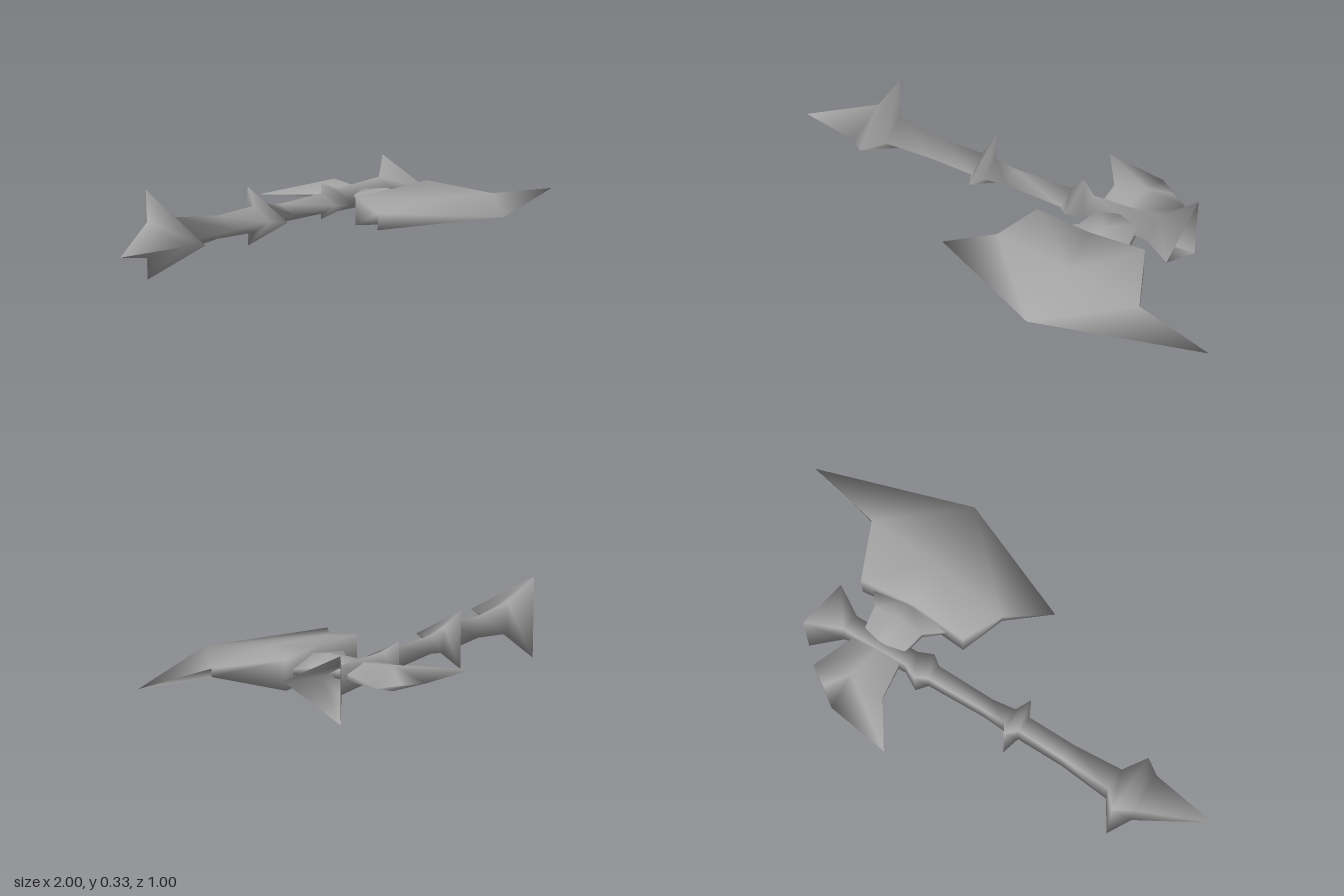
import * as THREE from 'three';

const MID = 0.163; // height of the horizontal symmetry plane
const steel = new THREE.MeshStandardMaterial({ color: 0xa6a6a6, side: THREE.DoubleSide });
steel.name = 'steel grey';

function buildMesh(name, positions, index) {
  const geo = new THREE.BufferGeometry();
  geo.setAttribute('position', new THREE.Float32BufferAttribute(positions, 3));
  geo.setIndex(index);
  geo.computeVertexNormals();
  const mesh = new THREE.Mesh(geo, steel);
  mesh.name = name;
  return mesh;
}

// Three-sided shaft lofted through [x, back z, front z, half height] stations
function loftShaft(name, stations) {
  const pos = [], idx = [];
  stations.forEach(([x, back, front, h], i) => {
    pos.push(x, MID, front, x, MID - h, back, x, MID + h, back);
    if (i === 0) return;
    for (let k = 0; k < 3; k++) {
      const p = (i - 1) * 3 + k, q = (i - 1) * 3 + (k + 1) % 3;
      if (i > 1) idx.push(p, q, q + 3);
      idx.push(p, q + 3, p + 3);
    }
  });
  return buildMesh(name, pos, idx);
}

// Lens-like plate mirrored about MID: rows (increasing z) of [x, z, half thickness]
function plate(name, rows) {
  const pos = [], idx = [], top = [], bottom = [];
  const add = (x, y, z) => pos.push(x, y, z) / 3 - 1;
  const tri = (a, b, c) => { if (a !== b && b !== c && a !== c) idx.push(a, b, c); };
  const quad = (a, b, c, d) => { tri(a, b, c); tri(a, c, d); };
  rows.flat().forEach(([x, z, h]) => {
    top.push(add(x, MID + h, z));
    bottom.push(h > 0 ? add(x, MID - h, z) : top[top.length - 1]);
  });
  const cols = rows[0].length, last = rows.length - 1;
  for (let i = 0; i < last; i++) {
    for (let j = 0; j < cols - 1; j++) {
      const a = i * cols + j, b = a + cols, c = b + 1, d = a + 1;
      // split each quad so the diagonals mirror left to right
      if (j < (cols - 1) / 2) {
        quad(top[a], top[b], top[c], top[d]);
        quad(bottom[d], bottom[c], bottom[b], bottom[a]);
      } else {
        quad(top[b], top[c], top[d], top[a]);
        quad(bottom[a], bottom[d], bottom[c], bottom[b]);
      }
    }
  }
  // rim walls
  const rim = [];
  for (let i = 0; i < last; i++) rim.push(i * cols);
  for (let j = 0; j < cols - 1; j++) rim.push(last * cols + j);
  for (let i = last; i > 0; i--) rim.push(i * cols + cols - 1);
  for (let j = cols - 1; j > 0; j--) rim.push(j);
  rim.forEach((p, k) => {
    const q = rim[(k + 1) % rim.length];
    quad(top[q], top[p], bottom[p], bottom[q]);
  });
  return buildMesh(name, pos, idx);
}

export function createModel() {
  const group = new THREE.Group();
  group.name = 'battleAxe';

  // shaft with spear tip, collars and flared pommel
  group.add(loftShaft('shaft', [
    [-1, -0.107, -0.107, 0],
    [-0.74, -0.235, -0.06, 0.065],
    [-0.68, -0.3, -0.017, 0.163],
    [-0.62, -0.214, -0.107, 0.065],
    [-0.42, -0.198, -0.118, 0.043],
    [-0.23, -0.193, -0.113, 0.05],
    [-0.2, -0.248, -0.053, 0.112],
    [-0.17, -0.193, -0.113, 0.05],
    [-0.08, -0.19, -0.125, 0.036],
    [0.16, -0.193, -0.118, 0.04],
    [0.2, -0.225, -0.088, 0.072],
    [0.26, -0.193, -0.113, 0.045],
    [0.53, -0.198, -0.112, 0.053],
    [0.65, -0.273, -0.037, 0.12],
  ]));

  // broad cutting blade
  group.add(plate('blade', [
    [[0.13, 0, 0.055], [0.36, 0.02, 0.057], [0.58, 0, 0.055]],
    [[0.06, 0.165, 0.02], [0.39, 0.22, 0.037], [0.69, 0.24, 0.015]],
    [[-0.1, 0.285, 0], [0.39, 0.5, 0], [1, 0.315, 0]],
  ]));

  // neck joining the blade to the shaft
  group.add(plate('bladeNeck', [
    [[0.3, -0.16, 0.015], [0.385, -0.16, 0.03], [0.47, -0.16, 0.015]],
    [[0.28, -0.05, 0.015], [0.385, -0.05, 0.046], [0.49, -0.05, 0.015]],
    [[0.21, 0.005, 0.01], [0.385, 0.03, 0.036], [0.53, 0.005, 0.01]],
  ]));

  // hooked fin behind the shaft
  group.add(plate('rearFin', [
    [[0.155, -0.505, 0], [0.41, -0.465, 0], [0.485, -0.41, 0]],
    [[0.27, -0.335, 0.005], [0.41, -0.33, 0.047], [0.56, -0.36, 0]],
    [[0.29, -0.17, 0.015], [0.385, -0.17, 0.03], [0.48, -0.17, 0.015]],
  ]));

  return group;
}
